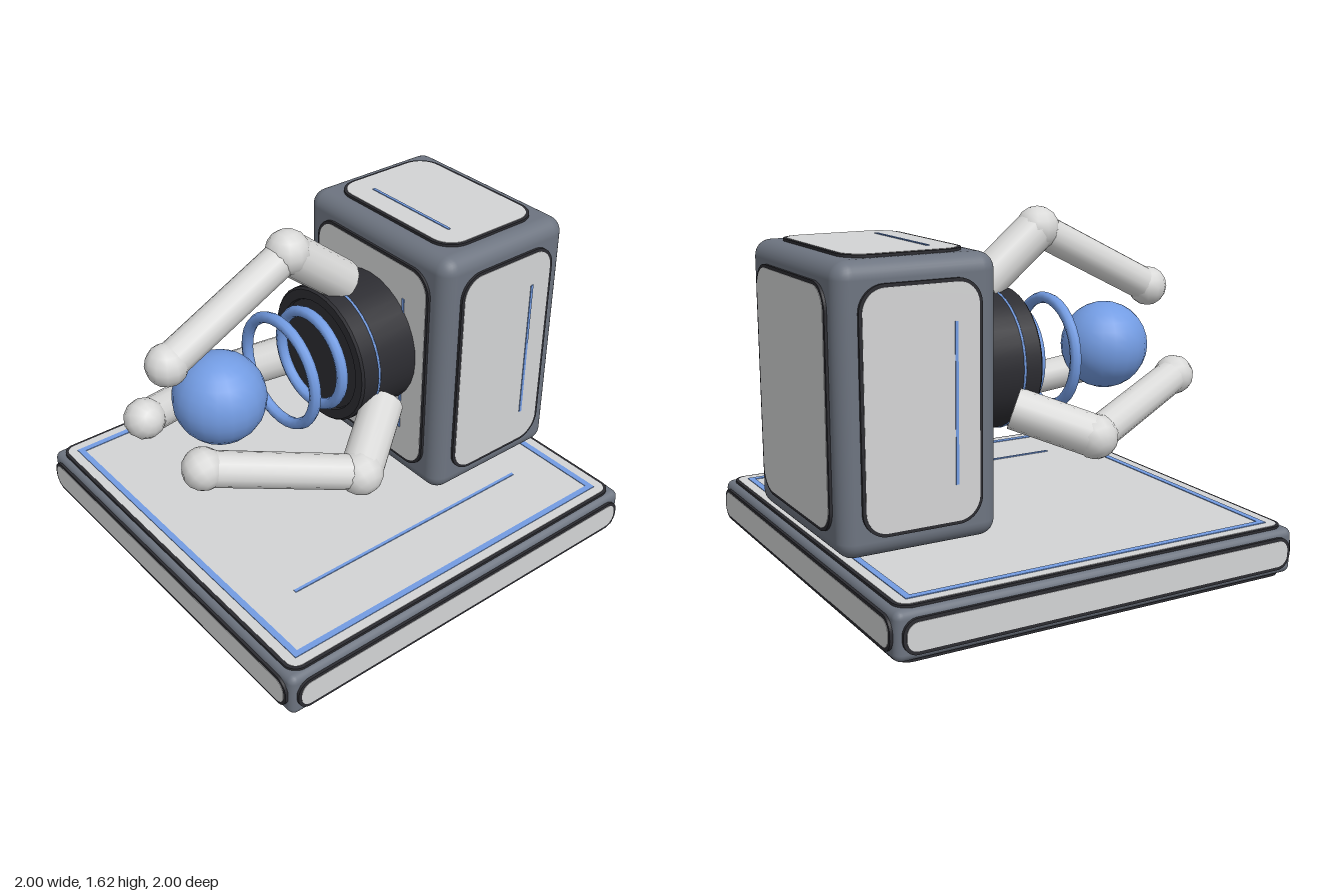
import * as THREE from 'three';
import { RoundedBoxGeometry } from 'three/addons/geometries/RoundedBoxGeometry.js';

const material = (name, color) => {
  const m = new THREE.MeshStandardMaterial({ color });
  m.name = name;
  return m;
};

function roundedRect(w, h, r, ShapeType = THREE.Shape) {
  const s = new ShapeType();
  const x = w / 2, y = h / 2;
  s.moveTo(-x + r, -y);
  s.lineTo(x - r, -y);
  s.absarc(x - r, -y + r, r, -Math.PI / 2, 0);
  s.lineTo(x, y - r);
  s.absarc(x - r, y - r, r, 0, Math.PI / 2);
  s.lineTo(-x + r, y);
  s.absarc(-x + r, y - r, r, Math.PI / 2, Math.PI);
  s.lineTo(-x, -y + r);
  s.absarc(-x + r, -y + r, r, Math.PI, Math.PI * 1.5);
  return s;
}

export function createModel() {
  const steel = material('steel grey', 0x6d7480);
  const light = material('light grey', 0xd3d4d5);
  const dark = material('charcoal', 0x2c2c31);
  const blue = material('accent blue', 0x739ce3);
  const shell = material('finger grey', 0xd9d9d8);

  const model = new THREE.Group();
  model.name = 'gripperMachine';

  function add(parent, name, geometry, mat, x = 0, y = 0, z = 0) {
    const mesh = new THREE.Mesh(geometry, mat);
    mesh.name = name;
    mesh.position.set(x, y, z);
    parent.add(mesh);
    return mesh;
  }

  const extrude = (shape, depth) =>
    new THREE.ExtrudeGeometry(shape, { depth, bevelEnabled: false, curveSegments: 8 });

  // Light plate with a dark gasket around it, facing local +z
  function panel(parent, name, w, h, r, position, rotation) {
    const g = new THREE.Group();
    g.name = name;
    g.position.set(...position);
    g.rotation.set(...rotation);
    add(g, 'gasket', extrude(roundedRect(w + 0.03, h + 0.03, r + 0.015), 0.02), dark, 0, 0, -0.008);
    add(g, 'plate', extrude(roundedRect(w, h, r), 0.008), light, 0, 0, 0.006);
    parent.add(g);
    return g;
  }

  // Thin blue inlay lying on a panel
  const inlay = (p, w, h, x, y) =>
    add(p, 'inlay', new THREE.BoxGeometry(w, h, 0.006), blue, x, y, 0.015);

  const q = Math.PI / 2;

  // Base slab
  const base = new THREE.Group();
  base.name = 'base';
  model.add(base);
  add(base, 'slab', new RoundedBoxGeometry(1.974, 0.212, 1.974, 3, 0.035), steel, 0, 0.119, 0);
  for (let i = 0; i < 4; i++) {
    const a = i * q;
    panel(base, 'sidePanel', 1.89, 0.12, 0.05,
      [Math.sin(a) * 0.987, 0.12, Math.cos(a) * 0.987], [0, a, 0]);
  }
  panel(base, 'bottomPanel', 1.89, 1.89, 0.05, [0, 0.014, 0], [q, 0, 0]);
  const deck = panel(base, 'deckPanel', 1.89, 1.89, 0.05, [0, 0.223, 0], [-q, 0, 0]);
  const frame = roundedRect(1.8, 1.8, 0.002);
  frame.holes.push(roundedRect(1.74, 1.74, 0.002, THREE.Path));
  add(deck, 'deckBorder', extrude(frame, 0.005), blue, 0, 0, 0.0125);
  inlay(deck, 0.016, 1.33, 0.585, 0);

  // Upright housing
  const housing = new THREE.Group();
  housing.name = 'housing';
  housing.position.set(0, 0.87, -0.613);
  model.add(housing);
  const W = 0.972, H = 1.24, D = 0.738;
  add(housing, 'housingBody', new RoundedBoxGeometry(W, H, D, 4, 0.075), steel);
  const front = panel(housing, 'frontPanel', 0.75, 1.025, 0.1, [0, 0, D / 2], [0, 0, 0]);
  panel(housing, 'backPanel', 0.75, 1.025, 0.1, [0, 0, -D / 2], [0, Math.PI, 0]);
  const left = panel(housing, 'leftPanel', 0.53, 1.025, 0.1, [W / 2, 0, 0], [0, q, 0]);
  const right = panel(housing, 'rightPanel', 0.53, 1.025, 0.1, [-W / 2, 0, 0], [0, -q, 0]);
  const top = panel(housing, 'topPanel', 0.76, 0.53, 0.1, [0, H / 2, 0], [-q, 0, 0]);
  panel(housing, 'underPanel', 0.76, 0.53, 0.1, [0, -H / 2, 0], [q, 0, 0]);
  inlay(front, 0.014, 0.7, 0.23, 0);
  inlay(left, 0.014, 0.7, 0.155, 0);
  inlay(right, 0.014, 0.7, 0.155, 0);
  inlay(top, 0.52, 0.014, 0, -0.15);

  // Everything on the gripper shares one forward axis
  const gripper = new THREE.Group();
  gripper.name = 'gripper';
  gripper.position.y = 0.93;
  model.add(gripper);

  // Barrel with a stepped front face
  const profile = [[0, -0.25], [0.325, -0.25], [0.325, 0.065], [0.315, 0.075], [0.27, 0.075],
    [0.265, 0.06], [0, 0.06]].map(([r, z]) => new THREE.Vector2(r, z));
  // Repeated points keep the profile corners sharp
  for (let i = 0; i < profile.length - 1; i++) {
    const strip = new THREE.LatheGeometry([profile[i], profile[i + 1]], 32);
    strip.rotateX(q);
    add(gripper, 'barrel', strip, dark);
  }
  add(gripper, 'barrelStripe', new THREE.TorusGeometry(0.322, 0.007, 6, 40), blue, 0, 0, -0.02);

  // Floating rings and ball
  add(gripper, 'innerRing', new THREE.TorusGeometry(0.225, 0.027, 8, 32), blue, 0, 0, 0.115);
  add(gripper, 'outerRing', new THREE.TorusGeometry(0.255, 0.027, 8, 32), blue, 0, 0, 0.29);
  add(gripper, 'ball', new THREE.SphereGeometry(0.21, 20, 14), blue, 0, 0, 0.62);

  // Cylinder between two points
  function rod(parent, name, a, b, r) {
    const d = b.clone().sub(a);
    const mesh = add(parent, name, new THREE.CylinderGeometry(r, r, d.length(), 14), shell);
    mesh.position.copy(a).addScaledVector(d, 0.5);
    mesh.quaternion.setFromUnitVectors(new THREE.Vector3(0, 1, 0), d.normalize());
  }

  // Three jointed fingers spaced evenly round the axis
  const root = new THREE.Vector3(0, 0.343, -0.063);
  const knuckle = new THREE.Vector3(0, 0.585, 0.235);
  const tip = new THREE.Vector3(0, 0.268, 0.87);
  for (let i = 0; i < 3; i++) {
    const finger = new THREE.Group();
    finger.name = 'finger';
    finger.rotation.z = i * Math.PI * 2 / 3;
    rod(finger, 'lowerSegment', root, knuckle, 0.097);
    rod(finger, 'upperSegment', knuckle, tip, 0.08);
    add(finger, 'knuckle', new THREE.SphereGeometry(0.103, 12, 8), shell, ...knuckle.toArray());
    add(finger, 'fingertip', new THREE.SphereGeometry(0.095, 12, 8), shell, ...tip.toArray());
    gripper.add(finger);
  }

  return model;
}
